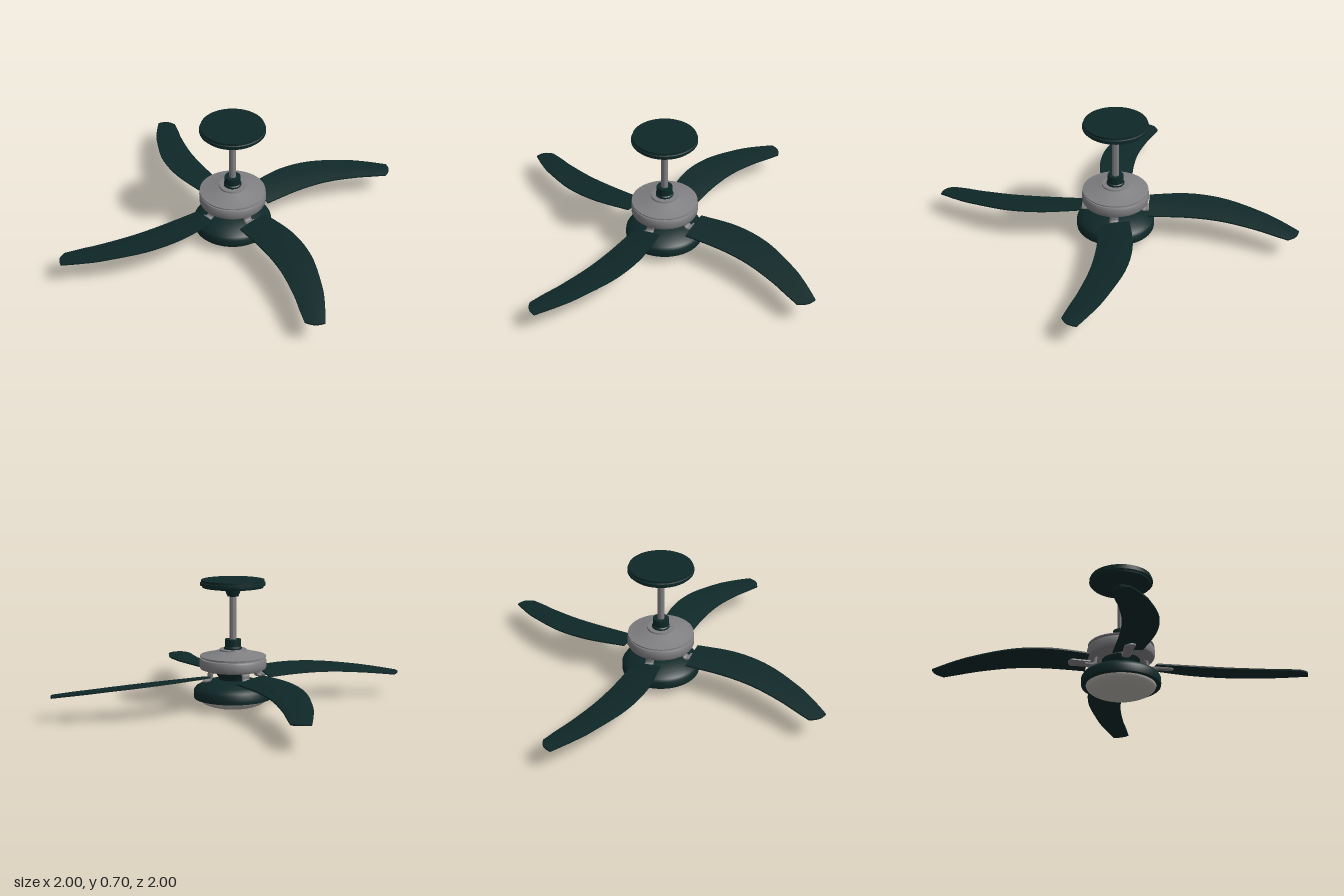
import * as THREE from 'three';
import { toCreasedNormals } from 'three/addons/utils/BufferGeometryUtils.js';

const mat = (name, color) => {
  const m = new THREE.MeshStandardMaterial({ color });
  m.name = name;
  return m;
};

// Revolved part; profile is [radius, y] from bottom to top
function lathe(name, profile, material) {
  const pts = profile.map(([r, y]) => new THREE.Vector2(r, y));
  const geo = toCreasedNormals(new THREE.LatheGeometry(pts, 64), 0.6);
  const mesh = new THREE.Mesh(geo, material);
  mesh.name = name;
  return mesh;
}

// Swept, drooping, pitched blade pointing along +x, lofted between two edge curves
function bladeGeometry() {
  const edge = (list) => new THREE.SplineCurve(list.map(([x, z]) => new THREE.Vector2(x, z)));
  const back = edge([[0.185, -0.085], [0.4, -0.112], [0.6, -0.085], [0.8, 0], [0.9, 0.06], [1, 0.134]]);
  const front = edge([[0.185, 0.078], [0.4, 0.08], [0.58, 0.1], [0.75, 0.145], [0.85, 0.182], [0.935, 0.212]]);
  const along = 32, across = 8, ring = 2 * (across + 1);
  const pos = [], index = [];
  for (let i = 0; i <= along; i++) {
    const t = i / along;
    const a = back.getPoint(t), b = front.getPoint(t);
    const bulge = 0.013 * Math.max(0, t - 0.8) / 0.2;
    const section = [];
    for (let j = 0; j <= across; j++) {
      const v = j / across, arch = Math.sin(Math.PI * v);
      const x = a.x + (b.x - a.x) * v + bulge * arch;
      const z = a.y + (b.y - a.y) * v + bulge * arch * 0.8;
      const droop = 0.065 * Math.pow(Math.max(0, x - 0.3) / 0.7, 2);
      const y = 0.203 - droop - v * (0.033 - 0.018 * t) + 0.004 * arch;
      section.push([x, y, z]);
    }
    section.forEach((p) => pos.push(...p));
    section.reverse().forEach(([x, y, z]) => pos.push(x, y - 0.008, z));
  }
  for (let i = 0; i < along; i++) {
    for (let j = 0; j < ring; j++) {
      const k = (j + 1) % ring;
      const p = i * ring + j, q = i * ring + k;
      index.push(p, q, p + ring, q, q + ring, p + ring);
    }
  }
  // End caps
  const last = along * ring;
  for (let j = 0; j < across; j++) {
    const p = j, q = j + 1, r = ring - 2 - j, s = ring - 1 - j;
    index.push(p, s, q, q, s, r);
    index.push(last + p, last + q, last + s, last + q, last + r, last + s);
  }
  const geo = new THREE.BufferGeometry();
  geo.setAttribute('position', new THREE.Float32BufferAttribute(pos, 3));
  geo.setIndex(index);
  return toCreasedNormals(geo, 0.6);
}

export function createModel() {
  const green = mat('dark green', 0x0f2828);
  const silver = mat('brushed silver', 0x808083);
  const glass = mat('frosted glass', 0xb4b1ac);
  const fan = new THREE.Group();
  fan.name = 'ceilingFan';

  // Ceiling mount and rod
  fan.add(lathe('canopy', [
    [0, 0.615], [0.03, 0.615], [0.038, 0.635], [0.042, 0.65], [0.12, 0.657], [0.165, 0.664],
    [0.168, 0.674], [0.177, 0.676], [0.177, 0.69], [0.171, 0.693], [0.171, 0.705], [0, 0.705],
  ], green));
  fan.add(lathe('rod', [[0.019, 0.35], [0.019, 0.63]], silver));
  fan.add(lathe('collar', [
    [0.048, 0.315], [0.048, 0.335], [0.043, 0.34], [0.043, 0.38], [0, 0.38],
  ], green));

  // Motor housing
  fan.add(lathe('motorHousing', [
    [0, 0.205], [0.12, 0.205], [0.155, 0.212], [0.178, 0.22], [0.183, 0.23], [0.183, 0.265],
    [0.178, 0.275], [0.165, 0.277], [0.165, 0.283], [0.18, 0.284], [0.18, 0.29], [0.145, 0.297],
    [0.11, 0.308], [0.075, 0.318], [0.073, 0.326], [0, 0.326],
  ], silver));
  fan.add(lathe('neck', [[0.07, 0.14], [0.08, 0.175], [0.105, 0.207]], green));

  // Light kit
  fan.add(lathe('lightBowl', [
    [0.18, 0.058], [0.213, 0.058], [0.215, 0.07], [0.214, 0.1], [0.205, 0.115], [0.175, 0.133],
    [0.135, 0.148], [0.1, 0.157], [0.07, 0.16], [0, 0.16],
  ], green));
  const dome = [];
  for (let i = 0; i <= 14; i++) {
    const a = (i / 14) * Math.PI / 2;
    dome.push([0.189 * Math.sin(a), 0.06 * (1 - Math.cos(a))]);
  }
  fan.add(lathe('lightDome', dome, glass));

  // Four blades, each on a bent bracket
  const bladeGeo = bladeGeometry();
  const path = new THREE.CatmullRomCurve3([
    [0.12, 0.21], [0.138, 0.205], [0.143, 0.178], [0.155, 0.168], [0.2, 0.17],
  ].map(([x, y]) => new THREE.Vector3(x, y, 0)));
  const armGeo = new THREE.TubeGeometry(path, 20, 0.01, 10);
  armGeo.scale(1, 1, 2.4);
  const plateShape = new THREE.Shape();
  plateShape.moveTo(0.17, -0.025);
  plateShape.lineTo(0.27, -0.03);
  plateShape.quadraticCurveTo(0.305, 0, 0.27, 0.03);
  plateShape.lineTo(0.17, 0.025);
  plateShape.closePath();
  const plateGeo = new THREE.ExtrudeGeometry(plateShape, { depth: 0.008, bevelEnabled: false });
  plateGeo.rotateX(Math.PI / 2);
  for (let i = 0; i < 4; i++) {
    const unit = new THREE.Group();
    unit.name = 'bladeUnit' + (i + 1);
    const blade = new THREE.Mesh(bladeGeo, green);
    blade.name = 'blade';
    const arm = new THREE.Mesh(armGeo, silver);
    arm.name = 'bracketArm';
    const plate = new THREE.Mesh(plateGeo, silver);
    plate.name = 'bracketPlate';
    plate.position.y = 0.18;
    plate.rotation.x = 0.19;
    unit.add(blade, arm, plate);
    unit.rotation.y = i * Math.PI / 2;
    fan.add(unit);
  }
  return fan;
}
